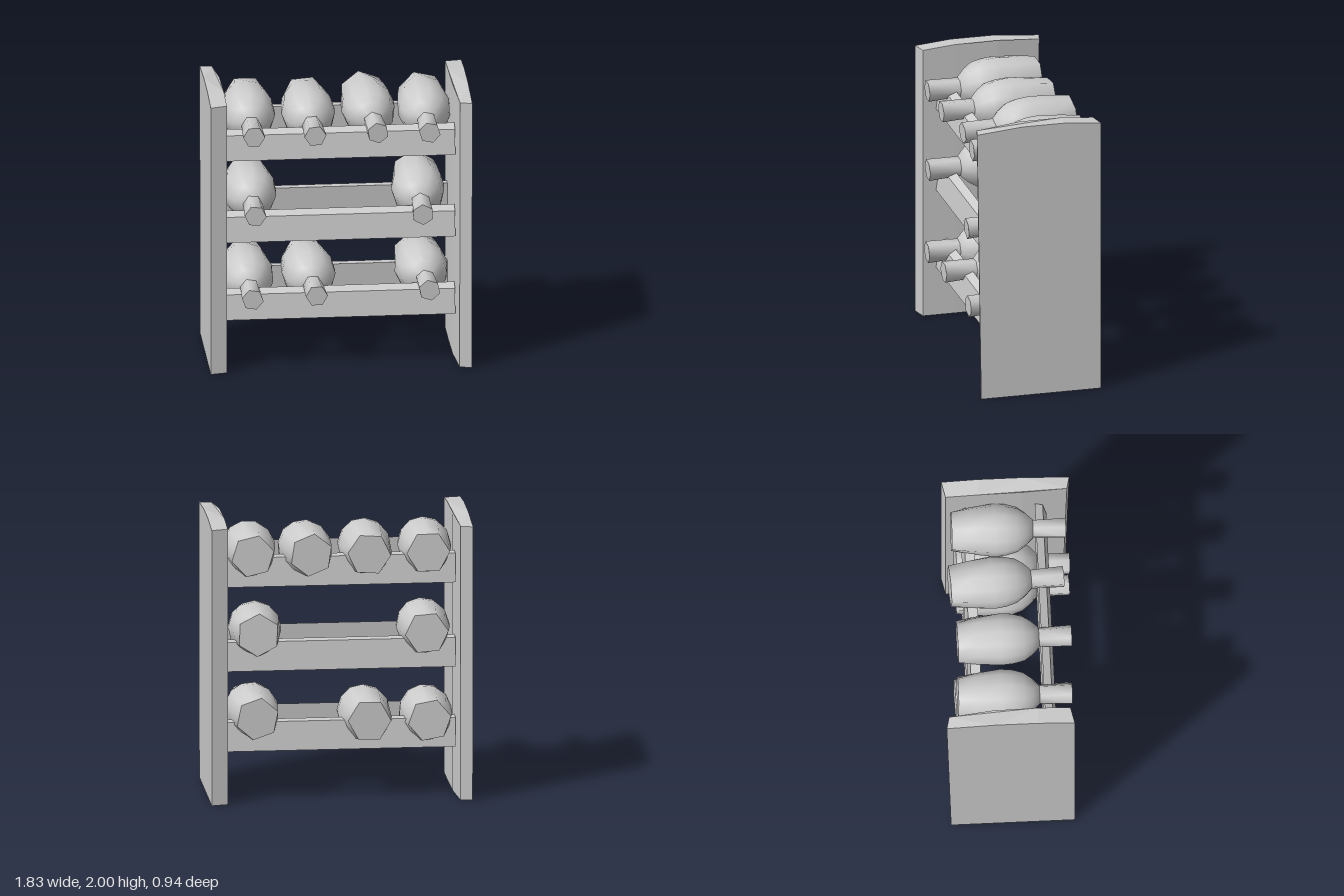
import * as THREE from 'three';
import { toCreasedNormals } from 'three/addons/utils/BufferGeometryUtils.js';

const material = new THREE.MeshStandardMaterial({ color: 0xcccccc });

function mesh(name, geometry) {
  const m = new THREE.Mesh(geometry, material);
  m.name = name;
  return m;
}

function extrude(points, depth) {
  const shape = new THREE.Shape(points.map(([x, y]) => new THREE.Vector2(x, y)));
  return new THREE.ExtrudeGeometry(shape, { depth, bevelEnabled: false });
}

// Upright side panel: plan outline (x, z) raised to full height, with an
// arched top and a front edge that leans outward.
function panelGeometry() {
  const plan = [
    [0.8, -0.4], [0.915, -0.425], [0.915, -0.17], [0.915, 0.14],
    [0.915, 0.47], [0.83, 0.45], [0.805, 0.14], [0.8, -0.17],
  ];
  const g = extrude(plan.map(([x, z]) => [x, -z]), 2).rotateX(-Math.PI / 2);
  const p = g.attributes.position;
  for (let i = 0; i < p.count; i++) {
    const z = p.getZ(i);
    if (p.getY(i) > 1) {
      const drop = Math.max(0, z - 0.14, -0.17 - z) * 0.09;
      p.setY(i, 2 - drop);
    } else if (z > 0.3) {
      p.setZ(i, z - 0.03);
    }
  }
  g.computeVertexNormals();
  return g;
}

// Cross rail: profile (z, y) run across the full width
function railGeometry(profile) {
  return extrude(profile, 1.62).rotateY(-Math.PI / 2).translate(0.81, 0, 0);
}

// Bottle body: rounded belly that settles into a hexagon at base and shoulder
function bodyGeometry() {
  const profile = [
    [0, -0.38], [0.152, -0.38], [0.172, -0.25], [0.187, -0.08],
    [0.182, 0.0], [0.165, 0.08], [0.125, 0.14], [0.075, 0.19], [0.03, 0.2],
  ].map(([r, y]) => new THREE.Vector2(r, y));
  const g = new THREE.LatheGeometry(profile, 12);
  const p = g.attributes.position;
  for (let i = 0; i < p.count; i++) {
    const x = p.getX(i), y = p.getY(i), z = p.getZ(i);
    const side = Math.round(Math.atan2(x, z) / (Math.PI / 6));
    if (side % 2 === 0) continue;
    const f = 1 - 0.134 * Math.min(1, ((y + 0.08) / 0.28) ** 2);
    p.setXYZ(i, x * f, y, z * f);
  }
  return toCreasedNormals(g.rotateX(Math.PI / 2), 1.15);
}

export function createModel() {
  const rack = new THREE.Group();
  rack.name = 'bottleRack';

  // Side panels, one turned half around
  const panel = panelGeometry();
  const left = mesh('leftPanel', panel);
  const right = mesh('rightPanel', panel);
  right.rotation.y = Math.PI;
  rack.add(left, right);

  // Front and back rails on three levels
  const front = railGeometry([[0.225, 0], [0.24, -0.21], [0.305, -0.21], [0.28, -0.03]]);
  const back = railGeometry([[-0.28, -0.005], [-0.3, -0.21], [-0.23, -0.21], [-0.21, 0]]);
  for (const y of [0.565, 1.14, 1.745]) {
    const f = mesh('frontRail', front);
    const b = mesh('backRail', back);
    f.position.y = b.position.y = y;
    rack.add(f, b);
  }

  // Bottles: x, y, z, yaw, pitch, roll
  const body = bodyGeometry();
  const neck = toCreasedNormals(
    new THREE.CylinderGeometry(0.077, 0.068, 0.26, 6).rotateX(Math.PI / 2).translate(0, 0, 0.29), 1.15);
  const bottles = [
    [-0.61, 1.76, 0, 0, 0.03, 0.5],
    [-0.19, 1.757, 0.015, 0.02, 0.02, 0.6],
    [0.235, 1.762, -0.02, 0.06, 0.04, 0.15],
    [0.62, 1.76, 0.01, 0, 0.03, 0.3],
    [-0.6, 1.178, 0, 0, 0.04, 0.45],
    [0.575, 1.175, 0.035, -0.01, 0.06, 0.05],
    [-0.62, 0.555, 0, 0, 0.03, 0.35],
    [-0.185, 0.565, 0, 0.035, 0.02, 0.55],
    [0.6, 0.592, 0.035, 0.04, 0.01, 0.2],
  ];
  for (const [x, y, z, yaw, pitch, roll] of bottles) {
    const bottle = new THREE.Group();
    bottle.name = 'bottle';
    bottle.add(mesh('bottleBody', body), mesh('bottleNeck', neck));
    bottle.position.set(x, y, z);
    bottle.rotation.set(pitch, yaw, roll, 'YXZ');
    rack.add(bottle);
  }
  return rack;
}
